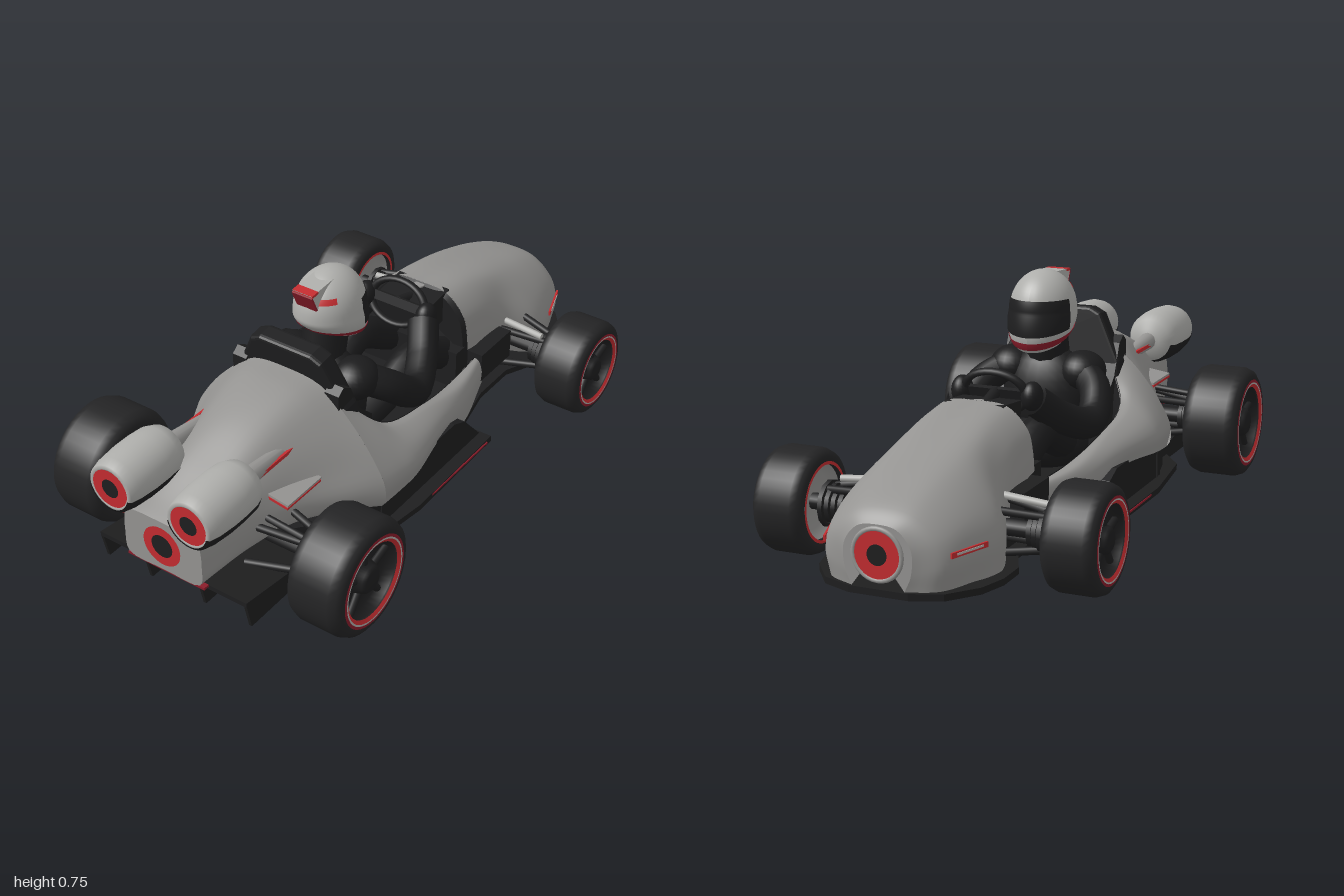
import * as THREE from 'three';

const mat = (name, color, side = THREE.FrontSide) => {
  const m = new THREE.MeshStandardMaterial({ color, side });
  m.name = name;
  return m;
};
const V = (x, y, z) => new THREE.Vector3(x, y, z);
const spline = (pts, n) => new THREE.CatmullRomCurve3(pts).getPoints(n);

export function createModel() {
  const model = new THREE.Group();
  model.name = 'racingKart';
  const grey = mat('bodyGrey', 0x959492, THREE.DoubleSide);
  const pale = mat('paleGrey', 0xaeaeab, THREE.DoubleSide);
  const black = mat('blackTrim', 0x1e1e1f, THREE.DoubleSide);
  const rubber = mat('rubber', 0x242425);
  const suit = mat('suitBlack', 0x1c1c1d);
  const red = mat('red', 0xc42c30, THREE.DoubleSide);
  const maroon = mat('maroon', 0x8a1c2a, THREE.DoubleSide);

  const add = (name, geo, m, x = 0, y = 0, z = 0, rx = 0, ry = 0, rz = 0) => {
    const mesh = new THREE.Mesh(geo, m);
    mesh.name = name;
    mesh.position.set(x, y, z);
    mesh.rotation.set(rx, ry, rz);
    model.add(mesh);
    return mesh;
  };
  const box = (name, m, w, h, d, ...at) => add(name, new THREE.BoxGeometry(w, h, d), m, ...at);
  const ball = (name, m, sx, sy, sz, ...at) =>
    add(name, new THREE.SphereGeometry(1, 24, 16), m, ...at).scale.set(sx, sy, sz);
  const tube = (name, m, r, ...pts) =>
    add(name, new THREE.TubeGeometry(new THREE.CatmullRomCurve3(pts.map(p => V(...p))), 20, r, 12), m);
  const rod = (name, m, a, b, r0, r1 = r0) => {
    const A = V(...a), B = V(...b), d = B.clone().sub(A);
    const mesh = add(name, new THREE.CylinderGeometry(r1, r0, d.length(), 12), m);
    mesh.position.copy(A).addScaledVector(d, 0.5);
    mesh.quaternion.setFromUnitVectors(V(0, 1, 0), d.normalize());
  };
  // Lathe whose profile is [radius, distance along the axis]
  const lathe = (pts, seg = 32, ...arc) =>
    new THREE.LatheGeometry(pts.map(p => new THREE.Vector2(...p)), seg, ...arc);
  // Flat red ring around a dark hole, facing +z or turned by ry
  const port = (name, x, y, z, rOut, rIn, ry = 0) => {
    add(name + 'Ring', new THREE.RingGeometry(rIn, rOut, 32), red, x, y, z, 0, ry);
    add(name + 'Hole', new THREE.CircleGeometry(rIn, 32), black, x, y, z, 0, ry);
  };

  // Smooth skin through half sections [z, [x, y]...] listed from the top down.
  // side 0 mirrors into one closed-top shell, +1 or -1 makes one flank.
  const loft = (stations, { side = 0, capStart = false, capEnd = false } = {}) => {
    const cols = stations[0].slice(1).map((_, k) =>
      spline(stations.map(s => V(...s[k + 1], s[0])), (stations.length - 1) * 6));
    let rows = cols[0].map((_, i) => {
      const half = cols.map(c => c[i]);
      const flip = half.map(p => V(-p.x, p.y, p.z));
      if (side) return spline(side > 0 ? half : flip.reverse(), 20);
      return spline([...flip.slice(1).reverse(), ...half], 48);
    });
    const cap = row => {
      const c = row.reduce((a, p) => a.add(p), V(0, 0, 0)).divideScalar(row.length);
      return row.map(() => c);
    };
    if (capStart) rows = [cap(rows[0]), rows[0], ...rows];
    if (capEnd) rows = [...rows, rows.at(-1), cap(rows.at(-1))];
    const n = rows[0].length, index = [];
    for (let i = 0; i < rows.length - 1; i++) for (let j = 0; j < n - 1; j++) {
      const a = i * n + j, b = a + n;
      index.push(a, b, a + 1, a + 1, b, b + 1);
    }
    const g = new THREE.BufferGeometry().setFromPoints(rows.flat());
    g.setIndex(index);
    g.computeVertexNormals();
    return g;
  };
  // Flat plate mirrored from an outline of [x, z]
  const plate = (pts, h) => {
    const full = [...pts, ...pts.map(p => [-p[0], p[1]]).reverse()];
    const g = new THREE.ExtrudeGeometry(new THREE.Shape(full.map(p => new THREE.Vector2(...p))), { depth: h, bevelEnabled: false });
    return g.rotateX(Math.PI / 2);
  };
  // Side silhouette of [z, y] extruded across x
  const sidePlate = (pts, w) => {
    const g = new THREE.ExtrudeGeometry(new THREE.Shape(pts.map(p => new THREE.Vector2(-p[0], p[1]))), { depth: w, bevelEnabled: false });
    return g.translate(0, 0, -w / 2).rotateY(Math.PI / 2);
  };

  // Nose
  const noseBack = [[0, .445], [.1, .435], [.165, .37], [.18, .31], [.185, .25]];
  add('nose', loft([
    [-.993, [0, .25], [.06, .24], [.1, .19], [.1, .12], [.08, .07]],
    [-.95, [0, .285], [.09, .27], [.16, .21], [.18, .14], [.165, .07]],
    [-.85, [0, .328], [.1, .315], [.19, .24], [.22, .16], [.21, .07]],
    [-.72, [0, .372], [.11, .355], [.2, .27], [.245, .18], [.245, .07]],
    [-.6, [0, .405], [.11, .39], [.17, .31], [.2, .22], [.2, .12]],
    [-.48, [0, .43], [.1, .42], [.165, .35], [.18, .28], [.185, .22]],
    [-.36, ...noseBack]], { capStart: true }), grey);
  add('noseBulkhead', loft([[-.362, ...noseBack], [-.345, ...noseBack.map(p => [p[0] * .96, p[1] - .01])]], { capEnd: true }), black);
  add('noseLip', new THREE.TorusGeometry(.073, .007, 8, 32), grey, 0, .165, -.993);
  port('nose', 0, .165, -.997, .071, .03, Math.PI);

  // Engine cover
  const coverFront = [[.23, .42], [.31, .32], [.355, .23], [.345, .16]];
  add('engineCover', loft([
    [.36, [0, .525], [.12, .51], ...coverFront, [0, .14]],
    [.45, [0, .522], [.11, .505], [.2, .42], [.265, .32], [.305, .24], [.29, .18], [0, .15]],
    [.6, [0, .485], [.1, .465], [.16, .4], [.2, .32], [.22, .25], [.2, .19], [0, .16]],
    [.75, [0, .42], [.09, .41], [.14, .36], [.16, .31], [.17, .24], [.15, .175], [0, .16]],
    [.88, [0, .36], [.09, .353], [.13, .335], [.14, .3], [.145, .24], [.135, .17], [0, .16]],
    [.95, [0, .335], [.1, .333], [.13, .325], [.138, .29], [.14, .24], [.13, .168], [0, .16]]], { capEnd: true }), grey);
  port('tail', 0, .25, .954, .067, .038);
  box('tailTrim', maroon, .28, .008, .02, 0, .154, .935);

  // Floor, diffuser and dark chassis core
  add('floor', plate([[.09, -.995], [.18, -.96], [.25, -.87], [.275, -.78], [.275, -.68], [.22, -.56], [.22, -.4],
    [.26, -.22], [.37, -.22], [.375, .2], [.34, .48], [.27, .58]], .02), black, 0, .068, 0);
  add('rearPod', plate([[.335, .3], [.3, .45], [.25, .56], [.2, .62]], .13), black, 0, .18, 0);
  add('diffuser', sidePlate([[.5, .06], [.92, .135], [.92, .15], [.5, .09]], .54), black);
  for (const x of [-.265, -.1, .1, .265])
    add('diffuserFin', sidePlate([[.5, .05], [.9, .05], [.92, .14], [.5, .08]], .01), black, x);
  box('frontChassis', black, .36, .2, .34, 0, .165, -.47);
  box('cockpitFloor', black, .44, .06, .66, 0, .1, .02);

  for (const s of [1, -1]) {
    // Cockpit flank with its dark lining, side pod and seat wing
    const rim = [[-.42, .2, .22], [-.2, .225, .235], [0, .25, .28], [.2, .24, .325], [.28, .19, .4], [.36, .12, .51]];
    add('cockpitSide', loft([
      [-.42, [.2, .22], [.21, .215], [.22, .19], [.22, .15], [.21, .1]],
      [-.2, [.225, .235], [.26, .23], [.28, .2], [.285, .16], [.28, .1]],
      [0, [.25, .28], [.275, .275], [.31, .25], [.325, .22], [.32, .18]],
      [.2, [.24, .325], [.275, .32], [.335, .28], [.365, .23], [.36, .18]],
      [.28, [.19, .4], [.25, .375], [.325, .3], [.363, .23], [.355, .17]],
      [.36, [.12, .51], ...coverFront]], { side: s }), grey);
    add('cockpitLining', loft(rim.map(([z, x, y]) => [z, [x + .003, y + .004], [x - .012, y - .06], [x - .01, .1]]), { side: s }), black);
    add('seatWing', sidePlate([[.37, .5], [.345, .52], [.31, .5], [.265, .4], [.2, .34], [.2, .2], [.37, .2]], .05), black, s * .17);
    add('sidePod', sidePlate([[.34, .06], [.34, .15], [.2, .18], [.13, .195], [-.06, .195], [-.12, .17], [-.21, .07], [-.21, .06]], .13), black, s * .265);
    box('floorTrim', maroon, .004, .006, .32, s * .374, .062, -.03);
    box('frontBracket', black, .06, .1, .18, s * .205, .19, -.46);
    box('noseSlit', red, .006, .016, .14, s * .215, .17, -.872, 0, s * .33);
    box('noseSlitLight', pale, .008, .006, .1, s * .216, .171, -.872, 0, s * .33);
    box('seatStrap', maroon, .006, .006, .12, s * .045, .134, -.1);

    // Jet with pylon
    const jx = s * .14, jy = .42;
    add('jetPod', lathe([[0, .73], [.04, .735], [.07, .755], [.084, .79], [.088, .84], [.088, .9], [.083, .96], [.075, .992], [.066, .997], [.058, .99], [.03, .965]]), pale, jx, jy, 0, Math.PI / 2);
    add('jetUnderside', lathe([[.075, .76], [.086, .785], [.09, .84], [.09, .9], [.085, .96], [.077, .994], [.067, 1]], 24, -1.35, 2.7), black, jx, jy, 0, Math.PI / 2);
    port('jet', jx, jy, .995, .062, .03);
    rod('jetPylon', grey, [jx, jy, .76], [s * .135, .4, .48], .03, .016);
    box('pylonStripe', red, .008, .012, .18, s * .16, .413, .61);
    box('finPlate', grey, .08, .008, .16, s * .2, .328, .6, 0, 0, -s * .15);
    box('finUnderside', red, .08, .008, .16, s * .2, .32, .602, 0, 0, -s * .15);

    // Wheels and suspension
    for (const [end, z, R, w, cx] of [['front', -.62, .16, .08, .45], ['rear', .67, .184, .092, .438]]) {
      const turn = -s * Math.PI / 2, x = s * cx;
      const wheel = (name, pts, m) => add(end + name, lathe(pts, 40), m, x, R, z, 0, 0, turn);
      wheel('Tyre', [[.7 * R, -w * .8], [.74 * R, -w], [.86 * R, -w], [.95 * R, -.88 * w], [R, -.62 * w], [R, .62 * w],
        [.95 * R, .88 * w], [.86 * R, w], [.74 * R, w], [.7 * R, w * .8]], rubber);
      wheel('RimOuterRing', [[.79 * R, w + .002], [.74 * R, w + .003]], maroon);
      wheel('RimLight', [[.74 * R, w + .003], [.71 * R, w + .003]], pale);
      wheel('RimInnerRing', [[.71 * R, w + .003], [.65 * R, w * .96]], red);
      wheel('RimDish', [[.66 * R, w * .9], [.6 * R, w * .55], [.3 * R, w * .5], [.24 * R, w * .85], [.18 * R, w * .95], [0, w * .95]], black);
      wheel('InnerRim', [[0, -w * .5], [.55 * R, -w * .5], [.72 * R, -w * .85]], grey);
      wheel('InnerRing', [[.7 * R, -w - .002], [.76 * R, -w - .002]], red);
      for (let i = 0; i < 5; i++) {
        const a = i * Math.PI * .4;
        rod(end + 'Spoke', black, [x + s * w * .6, R + Math.cos(a) * .035, z + Math.sin(a) * .035],
          [x + s * w * .6, R + Math.cos(a) * R * .62, z + Math.sin(a) * R * .62], .012);
      }
      // Ribbed hub bellows
      for (let i = 0; i < 4; i++)
        rod(end + 'Bellows', black, [s * (.29 + i * .018), R, z], [s * (.304 + i * .018), R, z], .05 + i * .007);
      rod(end + 'Axle', black, [s * .12, R, z], [x, R, z], .025);
      for (const [dy, dz] of [[.07, -.07], [.07, .07], [-.06, -.09], [-.06, .09]])
        rod(end + 'Wishbone', black, [s * .14, R + dy, z + dz], [s * .35, R + dy * .7, z + dz * .3], .012);
      rod(end + 'TieRod', end === 'front' ? pale : black, [s * .16, R + .085, z + .03], [s * .33, R + .07, z + .03], .011);
    }

    // Driver limbs
    tube('arm', suit, .05, [s * .11, .44, .18], [s * .19, .39, .11], [s * .215, .315, 0], [s * .17, .35, -.11], [s * .115, .42, -.2]);
    ball('shoulder', suit, .075, .065, .08, s * .12, .43, .18);
    ball('glove', suit, .033, .045, .04, s * .115, .435, -.215);
    tube('leg', suit, .055, [s * .07, .2, .14], [s * .1, .25, 0], [s * .11, .31, -.15], [s * .1, .25, -.28], [s * .09, .17, -.42]);
  }

  // Seat back
  const seatShape = new THREE.Shape([[-.2, .2], [.2, .2], [.19, .44], [.12, .585], [.09, .6], [-.09, .6], [-.12, .585], [-.19, .44]].map(p => new THREE.Vector2(...p)));
  add('seatBack', new THREE.ExtrudeGeometry(seatShape, { depth: .04, bevelSize: .012, bevelThickness: .014, bevelSegments: 3 }), black, 0, .005, .235, .14);
  // Driver
  ball('torso', suit, .15, .17, .1, 0, .34, .18);
  ball('hips', suit, .15, .09, .13, 0, .2, .14);
  rod('neck', suit, [0, .44, .19], [0, .56, .16], .07);

  // Steering wheel and dashboard
  add('steeringWheel', new THREE.TorusGeometry(.1, .014, 10, 32), black, 0, .44, -.225, -.35).scale.y = .72;
  box('steeringSpoke', black, .19, .03, .015, 0, .44, -.225, -.35);
  rod('steeringColumn', black, [0, .44, -.225], [0, .4, -.36], .018);
  box('dashboard', black, .19, .1, .13, 0, .385, -.32, .1);
  add('dashButton', new THREE.CylinderGeometry(.018, .018, .008, 16), grey, 0, .438, -.35);

  // Helmet: sphere patches whose lower part keeps its width, juts into a chin and rises to the rear
  const shell = (name, m, size, phi, dPhi, t0, t1) => {
    const g = new THREE.SphereGeometry(1, 40, 24, phi - dPhi, dPhi * 2, t0 * Math.PI, (t1 - t0) * Math.PI);
    const p = g.attributes.position;
    for (let i = 0; i < p.count; i++) {
      const y = p.getY(i), z = p.getZ(i), low = Math.max(0, -y);
      const k = (1 + low * .25) * size;
      p.setXYZ(i, p.getX(i) * k * .103, y * .122 * size + low * z * .07, z * k * .124 - low * .02);
    }
    g.computeVertexNormals();
    add(name, g, m, 0, .633, .142);
  };
  const rear = Math.PI / 2, front = Math.PI * 1.5;
  shell('helmet', pale, 1, rear, Math.PI, 0, .77);
  shell('visor', black, 1.02, front, 1.35, .4, .63);
  shell('helmetTrim', maroon, 1.02, rear, Math.PI, .67, .73);
  shell('helmetBand', red, 1.015, rear, .95, .3, .35);
  // Ducktail spoiler at the back of the helmet
  add('helmetSpoiler', sidePlate([[.17, .745], [.278, .738], [.25, .675], [.17, .68]], .07), pale);
  box('helmetSpoilerBack', maroon, .072, .06, .006, 0, .705, .266, .42);
  box('helmetSpoilerTip', red, .072, .008, .03, 0, .736, .262, .07);
  return model;
}
